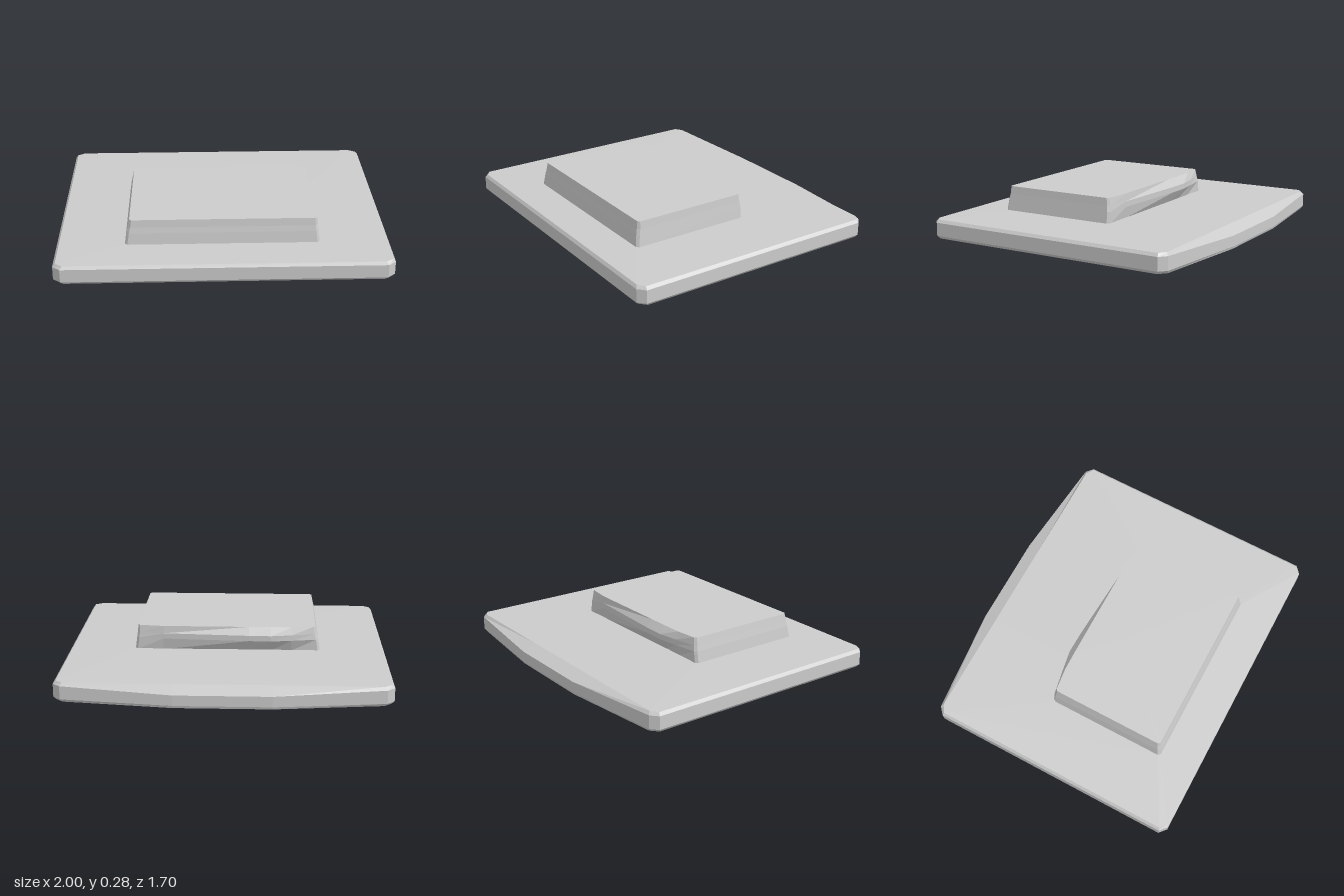
import * as THREE from 'three';

// Skin a stack of equal-length rings (bottom to top) and close both ends.
function loft(name, rings) {
  const pos = [];
  const tri = (a, b, c) => pos.push(...a, ...b, ...c);
  const centre = (ring) => [0, 1, 2].map((k) => ring.reduce((s, p) => s + p[k], 0) / ring.length);
  const n = rings[0].length;
  const first = rings[0], last = rings[rings.length - 1];
  const low = centre(first), high = centre(last);
  for (let i = 0; i < n; i++) {
    const j = (i + 1) % n;
    for (let r = 0; r < rings.length - 1; r++) {
      const a = rings[r], b = rings[r + 1];
      tri(a[i], a[j], b[j]);
      tri(a[i], b[j], b[i]);
    }
    tri(low, first[j], first[i]);
    tri(high, last[i], last[j]);
  }
  const geo = new THREE.BufferGeometry();
  geo.setAttribute('position', new THREE.Float32BufferAttribute(pos, 3));
  geo.computeVertexNormals();
  const mesh = new THREE.Mesh(geo, new THREE.MeshStandardMaterial({ color: 0xcccccc, flatShading: true }));
  mesh.name = name;
  return mesh;
}

// Chamfered rectangle with extra [x, y, z] points along its back edge.
function ring(y, x0, x1, front, back, cx, cz, backPoints) {
  return [
    [x0, y, front - cz], [x0 + cx, y, front], [x1 - cx, y, front], [x1, y, front - cz],
    [x1, y, back + cz], [x1 - cx, y, back],
    ...backPoints,
    [x0 + cx, y, back], [x0, y, back + cz],
  ];
}

export function createModel() {
  const group = new THREE.Group();

  // Wide slab: bevelled rim, back edge bowed outward and sloped on top
  const bow = (y, z) => [[0.29, y, z], [-0.29, y, z]];
  group.add(loft('baseSlab', [
    ring(0, -0.985, 0.985, 0.83, -0.77, 0.045, 0.04, bow(0, -0.845)),
    ring(0.018, -1, 1, 0.845, -0.78, 0.045, 0.04, bow(0.015, -0.85)),
    ring(0.1, -1, 1, 0.845, -0.78, 0.045, 0.04, bow(0.08, -0.85)),
    ring(0.118, -0.985, 0.985, 0.832, -0.765, 0.045, 0.03, bow(0.118, -0.765)),
    ring(0.125, -0.59, 0.58, 0.6, -0.16, 0.015, 0.015, bow(0.125, -0.16)),
  ]));

  // Raised pad: tapered sides, with a lopsided ridge along the back
  const ridgeX = [0.4, -0.14, -0.28, -0.41];
  const ridge = (y, zs) => ridgeX.map((x, i) => [x, y, zs[i]]);
  group.add(loft('raisedPad', [
    ring(0.12, -0.59, 0.58, 0.6, -0.165, 0.015, 0.015, ridge(0.12, [-0.162, -0.16, -0.16, -0.162])),
    ring(0.195, -0.578, 0.57, 0.59, -0.165, 0.015, 0.015, ridge(0.195, [-0.175, -0.207, -0.21, -0.19])),
    ring(0.23, -0.57, 0.565, 0.583, -0.16, 0.015, 0.015, ridge(0.23, [-0.175, -0.207, -0.21, -0.188])),
    ring(0.277, -0.56, 0.56, 0.577, -0.152, 0.012, 0.012, ridge(0.277, [-0.17, -0.17, -0.17, -0.168])),
  ]));

  return group;
}
